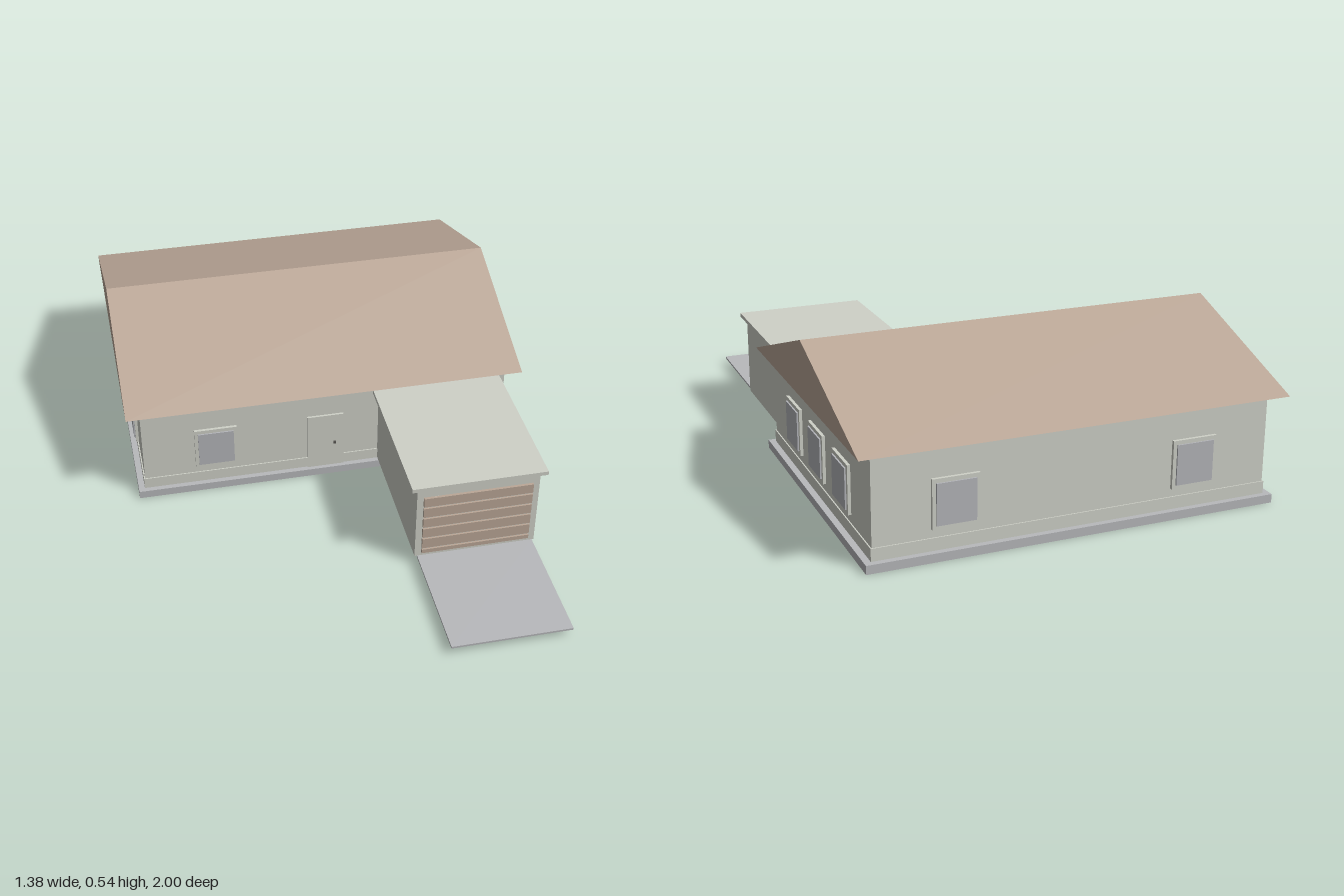
import * as THREE from 'three';

const mat = (name, color) => {
  const m = new THREE.MeshStandardMaterial({ color });
  m.name = name;
  return m;
};

export function createModel() {
  const wall = mat('offWhiteWall', 0xcfd1c8);
  const tan = mat('tanRoof', 0xbba797);
  const concrete = mat('concrete', 0xb8b9bc);
  const glass = mat('windowGlass', 0xb5b6bb);
  const dark = mat('darkMetal', 0x55534f);

  const house = new THREE.Group();
  house.name = 'house';

  // Box given by its lower and upper limits on each axis
  const box = (name, material, [x0, x1], [y0, y1], [z0, z1], parent = house) => {
    const mesh = new THREE.Mesh(new THREE.BoxGeometry(x1 - x0, y1 - y0, z1 - z0), material);
    mesh.position.set((x0 + x1) / 2, (y0 + y1) / 2, (z0 + z1) / 2);
    mesh.name = name;
    parent.add(mesh);
    return mesh;
  };

  // Main building
  box('foundation', concrete, [-0.668, 0.668], [0, 0.028], [-0.975, 0.065]);
  box('mainWalls', wall, [-0.643, 0.643], [0.028, 0.357], [-0.952, 0.043]);
  box('wallSkirt', wall, [-0.647, 0.647], [0.028, 0.068], [-0.956, 0.047]);

  // Solid gable roof, extruded along x
  const gable = new THREE.Shape([
    new THREE.Vector2(-0.085, 0.357),
    new THREE.Vector2(1, 0.357),
    new THREE.Vector2(0.4575, 0.543),
  ]);
  const roofGeometry = new THREE.ExtrudeGeometry(gable, { depth: 1.384, bevelEnabled: false });
  roofGeometry.rotateY(Math.PI / 2).translate(-0.692, 0, 0);
  const roof = new THREE.Mesh(roofGeometry, tan);
  roof.name = 'roof';
  house.add(roof);

  // Garage wing with flat roof and driveway
  box('garageWalls', wall, [0.188, 0.6], [0.03, 0.317], [0.03, 0.577]);
  box('garageRoof', wall, [0.167, 0.621], [0.317, 0.331], [0.03, 0.591]);
  box('driveway', concrete, [0.196, 0.592], [0.026, 0.033], [0.58, 1]);

  // Garage door: backing plate and raised slats
  box('garageDoorBacking', wall, [0.21, 0.577], [0.046, 0.28], [0.575, 0.58]);
  const slats = [[0.046, 0.061], [0.068, 0.107], [0.114, 0.151], [0.158, 0.194], [0.201, 0.238], [0.245, 0.28]];
  for (const range of slats) box('garageDoorSlat', tan, [0.21, 0.577], range, [0.576, 0.586]);

  // Front door and knob
  box('frontDoor', wall, [-0.067, 0.063], [0.028, 0.248], [0.04, 0.051]);
  box('doorKnob', dark, [0.026, 0.034], [0.126, 0.134], [0.05, 0.058]);

  // Windows: frame and slightly proud pane, facing along the given angle
  const addWindow = (x, z, angle) => {
    const w = new THREE.Group();
    w.name = 'window';
    box('windowFrame', wall, [-0.074, 0.074], [0.095, 0.252], [-0.01, 0.01], w);
    box('windowPane', glass, [-0.062, 0.062], [0.108, 0.239], [-0.01, 0.015], w);
    w.position.set(x, 0, z);
    w.rotation.y = angle;
    house.add(w);
  };
  addWindow(-0.389, 0.043, 0);
  for (const x of [-0.389, 0.389]) addWindow(x, -0.952, Math.PI);
  for (const z of [-0.206, -0.452, -0.698]) {
    for (const side of [-1, 1]) addWindow(side * 0.643, z, side * Math.PI / 2);
  }

  return house;
}
